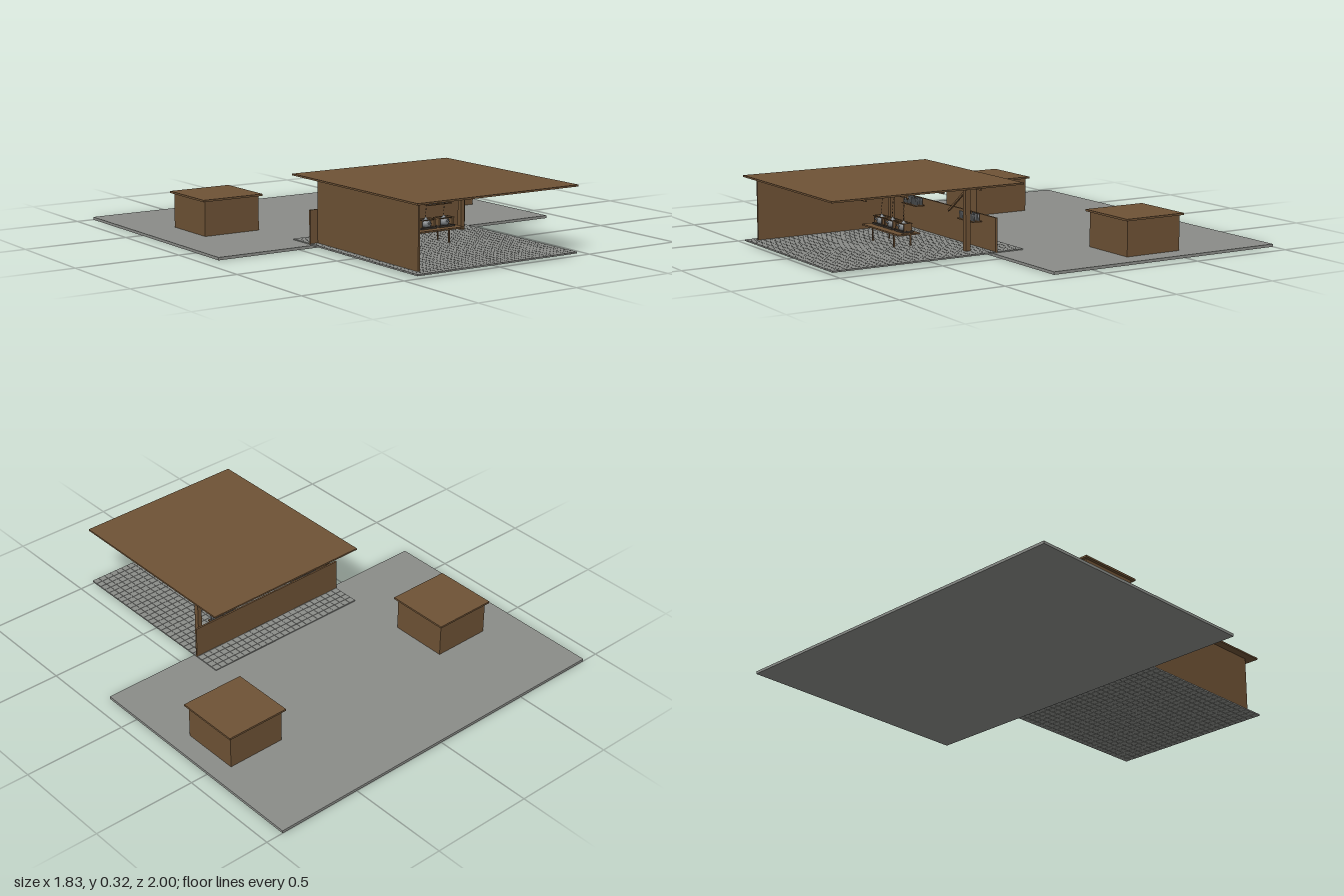
import * as THREE from 'three';
import { mergeGeometries } from 'three/addons/utils/BufferGeometryUtils.js';

const mat = (name, color) => new THREE.MeshStandardMaterial({ name, color });

export function createModel() {
  const model = new THREE.Group();
  const wood = mat('brown wood', 0x6e5235);
  const stone = mat('grey stone', 0x8a8c88);
  const metal = mat('dull metal', 0x7d8184);
  const dark = mat('dark iron', 0x3a332c);

  const add = (name, geo, material, parent = model) => {
    const m = new THREE.Mesh(geo, material);
    m.name = name;
    parent.add(m);
    return m;
  };
  // Box given by its lower and upper limits on each axis
  const block = (x0, x1, y0, y1, z0, z1) =>
    new THREE.BoxGeometry(x1 - x0, y1 - y0, z1 - z0)
      .translate((x0 + x1) / 2, (y0 + y1) / 2, (z0 + z1) / 2);
  const group = (name, x = 0, y = 0, z = 0) => {
    const g = new THREE.Group();
    g.name = name;
    g.position.set(x, y, z);
    model.add(g);
    return g;
  };

  // Yard slab
  add('yardSlab', block(-0.915, 0.915, 0, 0.013, -1, 0.2), stone);

  // Pavilion floor laid from small square tiles
  const tiles = [];
  const nx = 25, nz = 28, px = 0.862 / nx, pz = 0.962 / nz;
  for (let i = 0; i < nx; i++) {
    for (let j = 0; j < nz; j++) {
      const x = -0.431 + i * px, z = 0.037 + j * pz;
      tiles.push(block(x + 0.0008, x + px - 0.0008, 0.011, 0.018, z + 0.0008, z + pz - 0.0008));
    }
  }
  add('tiledFloor', mergeGeometries(tiles), stone);

  // Pavilion roof, rafters and walls
  add('pavilionRoof', block(-0.433, 0.431, 0.308, 0.316, 0.036, 1), wood);
  for (let i = 0; i < 4; i++) {
    const z = 0.23 + i * 0.193;
    add('rafter', block(-0.388, 0.384, 0.291, 0.308, z - 0.004, z + 0.004), wood);
  }
  add('sideWall', block(-0.394, -0.385, 0.018, 0.308, 0.185, 0.952), wood);
  add('lowBackWall', block(-0.433, 0.431, 0.015, 0.171, 0.176, 0.185), wood);

  // Posts with slanted braces
  for (const s of [-1, 1]) {
    add('post', block(s * 0.339 - 0.011, s * 0.339 + 0.011, 0.018, 0.292, 0.266, 0.29), wood);
    const brace = add('brace', new THREE.BoxGeometry(0.19, 0.009, 0.009), wood);
    brace.position.set(s * 0.26, 0.234, 0.278);
    brace.rotation.z = -s * Math.atan2(0.112, 0.15) * -1;
    brace.rotation.z = s * -Math.atan2(-0.112, -0.15) + s * Math.PI;
    brace.rotation.z = s * Math.atan2(0.112, 0.15);
  }

  // Wall shelves holding rows of cups
  for (const x of [-0.29, -0.219, 0.215, 0.286]) {
    const shelf = group('cupShelf', x, 0.138, 0.21);
    add('shelfBoard', new THREE.BoxGeometry(0.062, 0.005, 0.05), wood, shelf);
    for (let i = 0; i < 5; i++) {
      for (const z of [-0.012, 0.012]) {
        add('cup', new THREE.CylinderGeometry(0.005, 0.004, 0.032, 10), metal, shelf)
          .position.set(-0.023 + i * 0.0115, 0.0185, z);
      }
    }
  }

  // Work table
  add('tableTop', block(-0.17, 0.166, 0.079, 0.086, 0.418, 0.53), wood);
  for (const x of [-0.1, 0.095]) {
    for (const z of [0.426, 0.512]) {
      add('tableLeg', block(x - 0.003, x + 0.003, 0.018, 0.079, z - 0.003, z + 0.003), wood);
    }
  }

  // Three kettles on stands, each with a rising wisp of steam
  const body = [[0, 0], [0.02, 0], [0.026, 0.012], [0.022, 0.026], [0.008, 0.034], [0.004, 0.042], [0, 0.043]]
    .map(([r, y]) => new THREE.Vector2(r, y));
  for (const x of [-0.1, 0, 0.1]) {
    const kettle = group('kettle', x, 0.086, 0.464);
    add('burner', new THREE.BoxGeometry(0.084, 0.008, 0.054), dark, kettle).position.y = 0.004;
    add('kettleBody', new THREE.LatheGeometry(body, 16), metal, kettle).position.y = 0.008;
    for (const s of [-1, 1]) {
      add('sideStand', new THREE.BoxGeometry(0.008, 0.034, 0.04), wood, kettle)
        .position.set(s * 0.036, 0.025, 0);
      add('standRail', new THREE.BoxGeometry(0.084, 0.004, 0.004), wood, kettle)
        .position.set(0, 0.04, s * 0.021);
    }
    const spout = new THREE.LineCurve3(new THREE.Vector3(0, 0.02, 0.018), new THREE.Vector3(0, 0.036, 0.038));
    add('spout', new THREE.TubeGeometry(spout, 1, 0.004, 8), metal, kettle);
    for (let i = 0; i < 9; i++) {
      const dash = add('steamDash', new THREE.BoxGeometry(0.002, 0.008, 0.002), dark, kettle);
      dash.position.set(-0.002 + i * 0.0016, 0.056 + i * 0.0155, 0);
      dash.rotation.z = -0.1;
    }
  }

  // Two small huts in the yard
  for (const x of [-0.578, 0.672]) {
    const hut = group('hut', x, 0, -0.398);
    add('hutBody', block(-0.143, 0.143, 0.013, 0.175, -0.143, 0.143), wood, hut);
    add('hutRoof', block(-0.157, 0.157, 0.175, 0.184, -0.157, 0.157), wood, hut);
  }
  return model;
}
